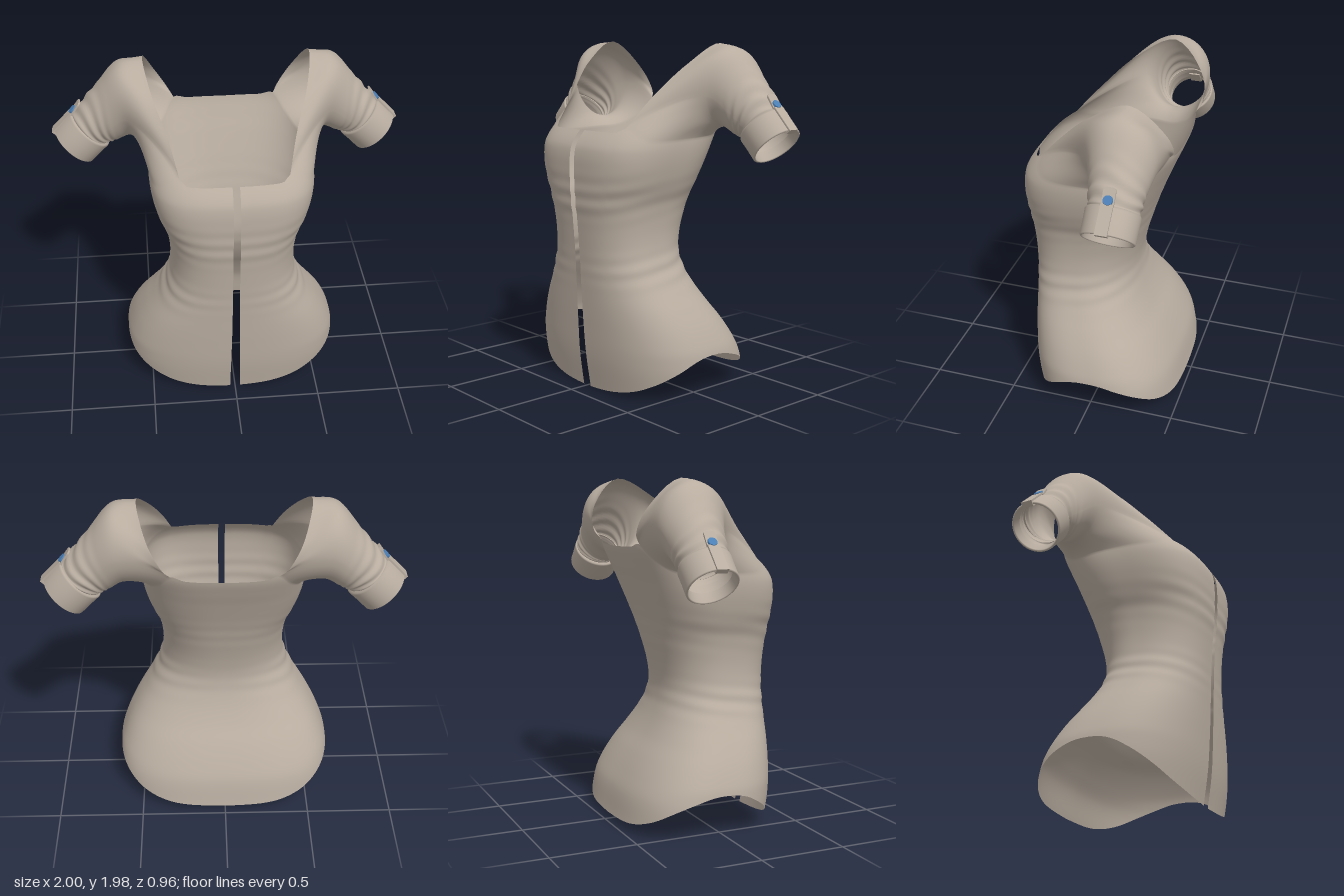
import * as THREE from 'three';
import { mergeVertices } from 'three/addons/utils/BufferGeometryUtils.js';

const V = (x, y, z) => new THREE.Vector3(x, y, z);
const RAD = Math.PI / 180;

// Smooth cubic interpolation through [key, value] pairs
function smooth(pts) {
  const n = pts.length;
  const slope = (i) => {
    const a = pts[Math.max(0, i - 1)], b = pts[Math.min(n - 1, i + 1)];
    return (b[1] - a[1]) / (b[0] - a[0]);
  };
  return (x) => {
    if (x <= pts[0][0]) return pts[0][1];
    if (x >= pts[n - 1][0]) return pts[n - 1][1];
    let i = 0;
    while (x > pts[i + 1][0]) i++;
    const [x0, y0] = pts[i], [x1, y1] = pts[i + 1], h = x1 - x0, t = (x - x0) / h;
    const t2 = t * t, t3 = t2 * t;
    return (2 * t3 - 3 * t2 + 1) * y0 + (t3 - 2 * t2 + t) * h * slope(i)
      + (3 * t2 - 2 * t3) * y1 + (t3 - t2) * h * slope(i + 1);
  };
}

// Torso profiles by height: half width, front depth, back depth
const width = smooth([[0, 0.635], [0.15, 0.647], [0.25, 0.638], [0.3, 0.625], [0.4, 0.582], [0.5, 0.525], [0.6, 0.46],
  [0.7, 0.405], [0.8, 0.37], [0.9, 0.36], [1, 0.365], [1.1, 0.382], [1.2, 0.42], [1.3, 0.448], [1.4, 0.463], [1.5, 0.462], [1.65, 0.455]]);
const front = smooth([[0, 0.38], [0.2, 0.41], [0.4, 0.425], [0.6, 0.435], [0.8, 0.445], [1, 0.46], [1.1, 0.472],
  [1.3, 0.48], [1.4, 0.47], [1.45, 0.445], [1.5, 0.402], [1.54, 0.355], [1.65, 0.25]]);
const back = smooth([[0, -0.49], [0.04, -0.48], [0.2, -0.447], [0.3, -0.4], [0.4, -0.34], [0.5, -0.27], [0.6, -0.215],
  [0.7, -0.178], [0.8, -0.167], [0.9, -0.18], [1, -0.205], [1.2, -0.265], [1.4, -0.34], [1.5, -0.382], [1.6, -0.418], [1.7, -0.425]]);
// Roundness of the cross-section by height: lower is squarer
const frontRound = smooth([[0, 0.8], [0.5, 0.8], [0.85, 0.82], [1.1, 0.75], [1.3, 0.68], [1.55, 0.7]]);
const backRound = smooth([[0, 0.68], [0.5, 0.75], [0.8, 0.87], [1.2, 0.78], [1.6, 0.64]]);
// Lower and upper edges by angle in degrees, 0 at the front and 180 at the back
const hem = smooth([[0, 0], [13, 0.015], [28, 0.048], [43, 0.1], [64, 0.18], [80, 0.235], [93, 0.25],
  [108, 0.215], [122, 0.17], [141, 0.1], [160, 0.055], [180, 0.04]]);
const topEdge = smooth([[0, 1.5], [12, 1.5], [24, 1.502], [30, 1.522], [45, 1.49], [65, 1.455], [100, 1.46],
  [122, 1.475], [138, 1.54], [150, 1.622], [162, 1.606], [180, 1.6]]);

const bell = (y, c, s) => Math.exp(-(((y - c) / s) ** 2));

// Point on the torso at a height and angle, with soft cloth folds
function torsoPoint(y, deg) {
  const a = deg * RAD, s = Math.max(0, Math.sin(a)), c = Math.cos(a);
  const e = c > 0 ? frontRound(y) : backRound(y);
  const zf = front(y), zb = back(y), zc = (zf + zb) / 2, d = (zf - zb) / 2;
  const fold = 1
    + 0.007 * Math.sin(66 * y + 5 * c + 1) * bell(y, 1.13, 0.11) * (0.3 + 0.7 * Math.max(0, c))
    + 0.011 * Math.sin(68 * y + 4 * c) * bell(y, 0.72, 0.08) * (0.15 + 0.85 * s);
  const slit = (0.02 + 0.01 * bell(y, 0, 0.4)) * Math.max(0, c) ** 2;
  return V(width(y) * s ** e * fold + slit, y, zc + d * Math.sign(c) * Math.abs(c) ** e * fold);
}

const COLS = 60, ROWS = 100, J0 = 10, J1 = 50, ARC = 32, RINGS = 60, PIT = 122 / 3;

// Sleeve rings: centre, upward half axis, depth radius
const sleeveRings = [
  [V(0.57, 1.737, -0.205), V(0.03, 0.218, 0), 0.2],
  [V(0.683, 1.64, -0.225), V(0.053, 0.165, 0), 0.155],
  [V(0.775, 1.55, -0.235), V(0.095, 0.091, 0), 0.136],
  [V(0.81, 1.512, -0.235), V(0.09, 0.086, 0), 0.128],
];
const ringPoint = ([c, u, r], phi) => c.clone().addScaledVector(u, Math.cos(phi)).add(V(0, 0, r * Math.sin(phi)));

function torsoGrid() {
  const grid = [];
  for (let i = 0; i <= ROWS; i++) {
    const row = [];
    for (let j = 0; j <= COLS; j++) {
      const deg = j * 180 / COLS;
      row.push(torsoPoint(THREE.MathUtils.lerp(hem(deg), topEdge(deg), i / ROWS), deg));
    }
    grid.push(row);
  }
  return grid;
}

// Sleeve from armhole seam and neckline out to the cuff
function sleeveGrid(seam) {
  const below = (j) => torsoPoint(topEdge(j * 3) - 0.12, j * 3).sub(seam[j]);
  const strands = [];
  for (let j = J0; j <= J1; j++) {
    const deg = j < PIT ? 100 + 80 * (j - J0) / (PIT - J0) : 180 + 85 * (j - PIT) / (J1 - PIT);
    strands.push({ p: seam[j], phi: deg * RAD, ghost: below(j) });
  }
  const F = seam[J0], B = seam[J1];
  const neck = new THREE.CatmullRomCurve3([B, V(0.332, 1.68, -0.425), V(0.405, 1.815, -0.395), V(0.465, 1.98, -0.22),
    V(0.427, 1.865, 0.005), V(0.352, 1.695, 0.185), F]);
  for (let k = 1; k <= ARC; k++) {
    const t = k / ARC, p = k === ARC ? F : neck.getPoint(t);
    const phi = (t < 0.5 ? 265 + 190 * t : 360 + 200 * (t - 0.5)) * RAD;
    const out = p.clone().sub(ringPoint(sleeveRings[0], phi));
    const blend = THREE.MathUtils.smoothstep(Math.min(t, 1 - t), 0, 0.25);
    strands.push({ p, phi, ghost: below(t < 0.5 ? J1 : J0).lerp(out, blend) });
  }
  const grid = Array.from({ length: RINGS + 1 }, () => []);
  for (const { p, phi, ghost } of strands) {
    const path = new THREE.CatmullRomCurve3([p.clone().add(ghost), p, ...sleeveRings.map((r) => ringPoint(r, phi))]);
    const radial = V(0.5 * Math.cos(phi), 0.86 * Math.cos(phi), Math.sin(phi));
    for (let s = 0; s <= RINGS; s++) {
      const t = s / RINGS, q = s === 0 ? p.clone() : path.getPoint(0.2 + 0.8 * t);
      const gather = 0.006 * Math.sin(58 * t + 2 * Math.sin(phi * 2)) * bell(t, 0.66, 0.14);
      grid[s].push(s === 0 ? q : q.addScaledVector(radial, gather));
    }
  }
  return grid;
}

// Whole garment shell, both halves welded for smooth shading
function bodiceGeometry() {
  const pos = [], index = [];
  const torso = torsoGrid();
  const sleeve = sleeveGrid(torso[ROWS]);
  for (const side of [1, -1]) {
    for (const grid of [torso, sleeve]) {
      const base = pos.length / 3, n = grid[0].length;
      for (const row of grid) for (const p of row) pos.push(side * p.x, p.y, p.z);
      for (let i = 0; i < grid.length - 1; i++) {
        for (let j = 0; j < n - 1; j++) {
          const a = base + i * n + j, b = a + 1, c = b + n, d = a + n;
          if (side > 0) index.push(a, b, c, a, c, d);
          else index.push(a, c, b, a, d, c);
        }
      }
    }
  }
  const g = new THREE.BufferGeometry();
  g.setAttribute('position', new THREE.Float32BufferAttribute(pos, 3));
  g.setIndex(index);
  const merged = mergeVertices(g, 1e-4);
  merged.computeVertexNormals();
  return merged;
}

export function createModel() {
  const cloth = new THREE.MeshStandardMaterial({ color: 0xb9ada0, side: THREE.DoubleSide });
  cloth.name = 'taupe cloth';
  const blue = new THREE.MeshStandardMaterial({ color: 0x4c7fb4 });
  blue.name = 'blue button';
  const model = new THREE.Group();
  model.name = 'blouse';
  const add = (parent, name, geo, mat, x = 0, y = 0, z = 0) => {
    const m = new THREE.Mesh(geo, mat);
    m.name = name;
    m.position.set(x, y, z);
    parent.add(m);
    return m;
  };
  add(model, 'bodice', bodiceGeometry(), cloth);

  // Folded cuffs; local +y runs back up the sleeve, local +x is the outer top
  const cuffProfile = [[0.122, 0.06], [0.13, 0.004], [0.137, 0], [0.144, 0.006], [0.144, 0.08], [0.146, 0.14], [0.142, 0.15], [0.128, 0.152]]
    .map(([r, y]) => new THREE.Vector2(r, y));
  for (const side of [1, -1]) {
    const cuff = new THREE.Group();
    cuff.name = side > 0 ? 'leftCuff' : 'rightCuff';
    cuff.position.set(side * 0.885, 1.431, -0.235);
    cuff.rotation.z = side * 0.763;
    add(cuff, 'cuffBand', new THREE.LatheGeometry(cuffProfile, 48), cloth);
    // Strap over the cuff and round its rim
    add(cuff, 'strap', new THREE.BoxGeometry(0.01, 0.16, 0.066), cloth, side * 0.148, 0.074, 0);
    add(cuff, 'strapFold', new THREE.BoxGeometry(0.032, 0.008, 0.066), cloth, side * 0.137, -0.004, 0);
    add(cuff, 'strapInside', new THREE.BoxGeometry(0.008, 0.1, 0.066), cloth, side * 0.122, 0.045, 0);
    // Rounded strap end that lifts off the sleeve
    const end = new THREE.Shape();
    end.moveTo(-0.033, 0).lineTo(0.033, 0).lineTo(0.033, 0.07);
    end.quadraticCurveTo(0.033, 0.09, 0.013, 0.09).lineTo(-0.013, 0.09);
    end.quadraticCurveTo(-0.033, 0.09, -0.033, 0.07).lineTo(-0.033, 0);
    const endGeo = new THREE.ExtrudeGeometry(end, { depth: 0.01, bevelEnabled: false, curveSegments: 6 });
    endGeo.translate(0, 0, -0.005).rotateY(Math.PI / 2);
    const tab = add(cuff, 'strapEnd', endGeo, cloth, side * 0.14, 0.15, 0);
    tab.rotation.z = -side * 0.15;
    const button = add(cuff, 'button', new THREE.CylinderGeometry(0.025, 0.028, 0.014, 20), blue, side * 0.15, 0.172, 0);
    button.rotation.z = -side * Math.PI / 2;
    model.add(cuff);
  }
  return model;
}
